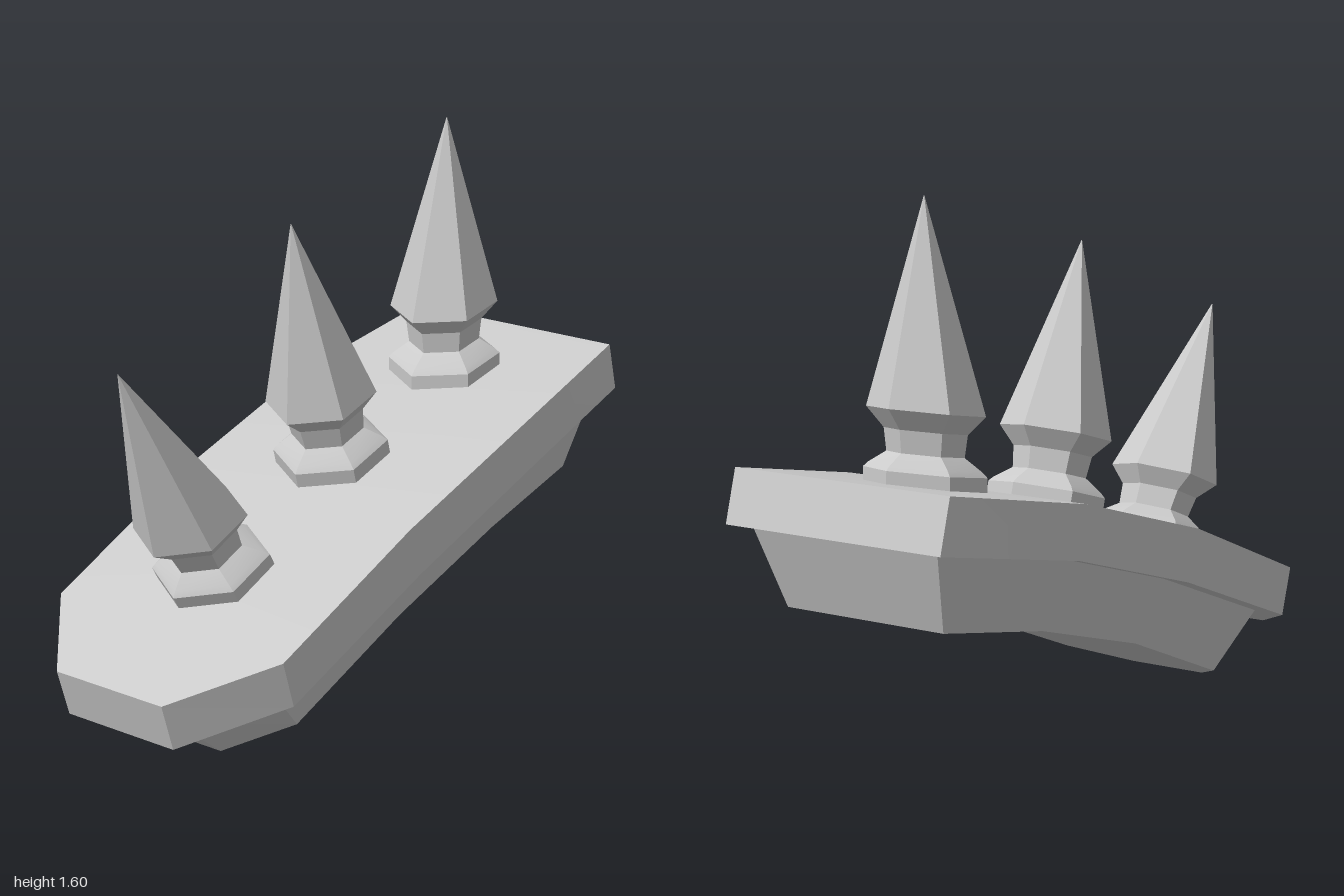
import * as THREE from 'three';
import { toCreasedNormals } from 'three/addons/utils/BufferGeometryUtils.js';

const material = new THREE.MeshStandardMaterial({ color: 0xcccccc });

// Skin a list of equal-sized rings of points, with both ends capped.
function loft(rings) {
  const n = rings[0].length;
  const pos = rings.flat(2);
  const index = [];
  for (let i = 0; i < rings.length - 1; i++) {
    for (let j = 0; j < n; j++) {
      const k = (j + 1) % n;
      const a = i * n + j, b = i * n + k;
      index.push(a, b, b + n, a, b + n, a + n);
    }
  }
  const last = (rings.length - 1) * n;
  for (let j = 1; j < n - 1; j++) {
    index.push(0, j + 1, j, last, last + j, last + j + 1);
  }
  const geometry = new THREE.BufferGeometry();
  geometry.setAttribute('position', new THREE.Float32BufferAttribute(pos, 3));
  geometry.setIndex(index);
  return toCreasedNormals(geometry, 0.4);
}

function addMesh(parent, name, geometry) {
  const mesh = new THREE.Mesh(geometry, material);
  mesh.name = name;
  parent.add(mesh);
}

// Four-cornered section: top x, y, half width, then the same for the bottom.
function section([tx, ty, tw, bx, by, bw]) {
  const c = -0.006;
  return [[tx, ty, c - tw], [tx, ty, c + tw], [bx, by, c + bw], [bx, by, c - bw]];
}

// Height along the axis and radius of each hexagonal ring below the point.
const spikeProfile = [
  [-0.05, 0.175], [0.04, 0.175], [0.055, 0.16], [0.09, 0.11],
  [0.155, 0.118], [0.21, 0.168],
];

// Rings lie along the plate slope; the axis leans on its own angle.
function spike(x, y, lean, slope, pointLength) {
  const z = -0.03;
  const profile = [...spikeProfile, [0.21 + pointLength, 0.001]];
  return loft(profile.map(([t, r]) => {
    const cx = x - Math.sin(lean) * t;
    const cy = y + Math.cos(lean) * t;
    const cz = z + 0.015 * Math.max(0, (t - 0.21) / pointLength);
    return Array.from({ length: 6 }, (_, k) => {
      const a = k * Math.PI / 3;
      const u = r * Math.cos(a);
      return [cx + u * Math.cos(slope), cy + u * Math.sin(slope), cz - r * Math.sin(a)];
    });
  }));
}

export function createModel() {
  const model = new THREE.Group();
  model.name = 'spikedPlate';

  // Curved upper plate with a tapered left end
  addMesh(model, 'upperPlate', loft([
    [-1, 0.275, 0.193, -0.955, 0.13, 0.193],
    [-0.745, 0.372, 0.412, -0.7, 0.228, 0.412],
    [-0.18, 0.592, 0.424, -0.125, 0.44, 0.424],
    [0.4, 0.758, 0.424, 0.44, 0.605, 0.424],
    [0.957, 0.862, 0.371, 1, 0.708, 0.371],
  ].map(section)));

  // Narrower backing block beneath the plate
  addMesh(model, 'lowerBlock', loft([
    [-0.885, 0.165, 0.16, -0.68, 0.004, 0.13],
    [-0.685, 0.24, 0.325, -0.515, 0.068, 0.276],
    [-0.125, 0.45, 0.342, -0.045, 0.253, 0.292],
    [0.44, 0.615, 0.342, 0.43, 0.386, 0.292],
    [0.95, 0.71, 0.322, 0.86, 0.462, 0.272],
  ].map(section)));

  // Three turned, hexagonal spikes
  const rad = THREE.MathUtils.degToRad;
  [
    ['rightSpike', -0.51, 0.465, 30.5, 21, 0.594],
    ['middleSpike', 0.04, 0.66, 15.7, 16, 0.58],
    ['leftSpike', 0.615, 0.798, 1.8, 9.5, 0.594],
  ].forEach(([name, x, y, lean, slope, length]) => {
    addMesh(model, name, spike(x, y, rad(lean), rad(slope), length));
  });

  return model;
}
